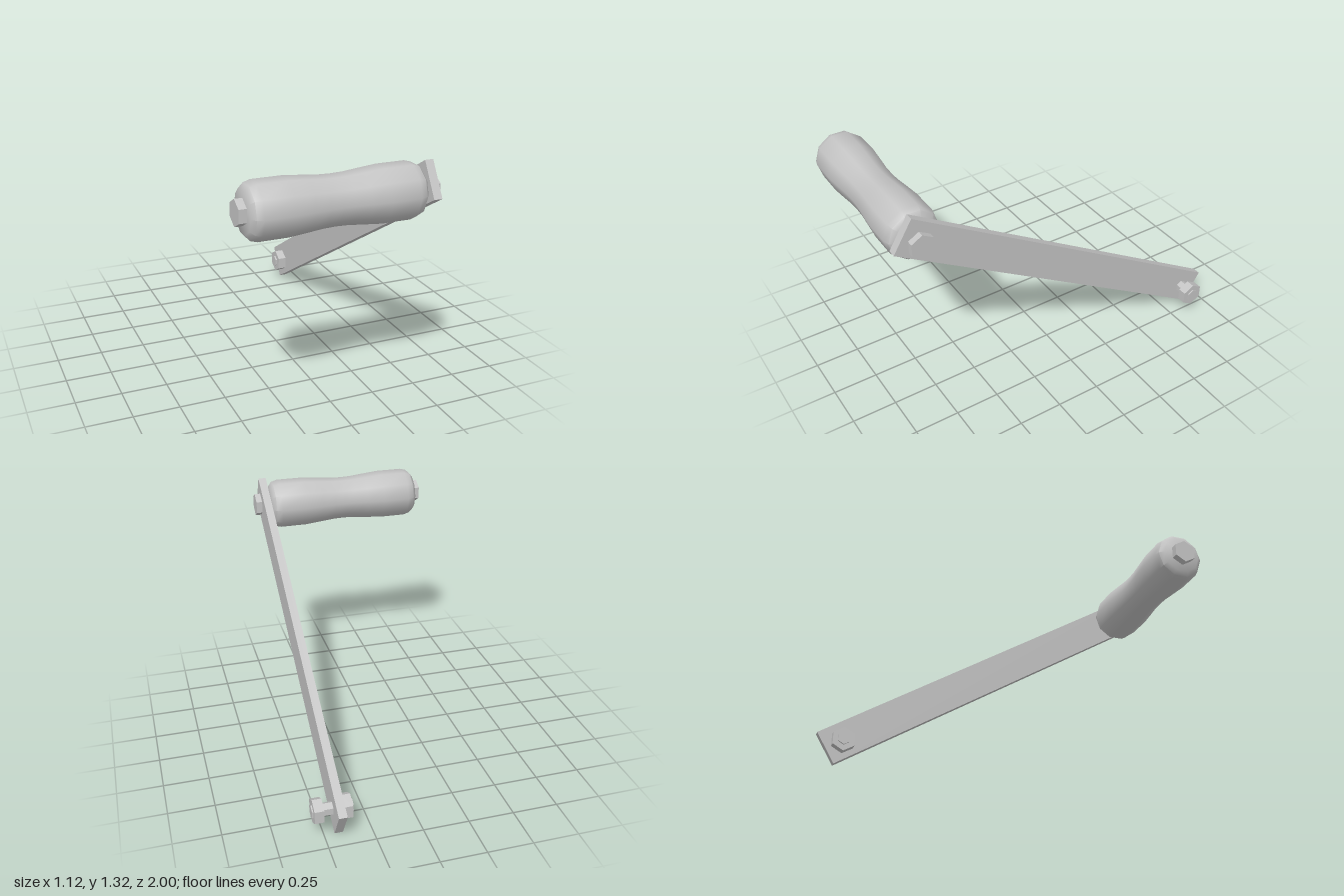
import * as THREE from 'three';
import { toCreasedNormals } from 'three/addons/utils/BufferGeometryUtils.js';

export function createModel() {
  const model = new THREE.Group();
  model.name = 'crankHandle';
  const steel = new THREE.MeshStandardMaterial({ color: 0xc4c4c4 });
  steel.name = 'light grey steel';

  const add = (name, geometry, x, y, z) => {
    const mesh = new THREE.Mesh(geometry, steel);
    mesh.name = name;
    mesh.position.set(x, y, z);
    model.add(mesh);
    return mesh;
  };

  // Six-sided prism along x, with corners pointing straight up and down
  const addHex = (name, radius, x0, x1, y, z) => {
    const geometry = new THREE.CylinderGeometry(radius, radius, x1 - x0, 6)
      .rotateY(Math.PI / 2).rotateZ(-Math.PI / 2).toNonIndexed();
    geometry.computeVertexNormals();
    add(name, geometry, (x0 + x1) / 2, y, z);
  };

  // Sloping flat arm
  const arm = add('crankArm', new THREE.BoxGeometry(0.045, 0.2, 2.22), 0.423, 0.67, 0);
  arm.rotation.x = -Math.atan2(1.15, 1.9);

  // Ten-sided grip with rounded ends and a narrow waist: [distance along x, radius]
  const profile = [
    [-0.52, 0], [-0.52, 0.11], [-0.5, 0.135], [-0.465, 0.145], [-0.31, 0.145],
    [-0.21, 0.136], [-0.13, 0.128], [-0.065, 0.126], [0, 0.128], [0.08, 0.136],
    [0.18, 0.145], [0.335, 0.145], [0.37, 0.135], [0.39, 0.11], [0.39, 0],
  ].map(([x, r]) => new THREE.Vector2(r, x));
  const grip = new THREE.LatheGeometry(profile, 10).rotateZ(-Math.PI / 2);
  add('grip', toCreasedNormals(grip, 0.7), 0, 1.175, 0.855);

  // Bolt through the grip
  addHex('gripEndNut', 0.068, -0.56, -0.51, 1.177, 0.857);
  addHex('gripBoltHead', 0.068, 0.38, 0.48, 1.177, 0.865);

  // Bolt through the lower end of the arm
  addHex('axleBolt', 0.036, 0.34, 0.557, 0.143, -0.858);
  addHex('axleInnerNut', 0.07, 0.35, 0.402, 0.143, -0.858);
  addHex('axleOuterNut', 0.07, 0.5, 0.55, 0.143, -0.858);

  return model;
}
